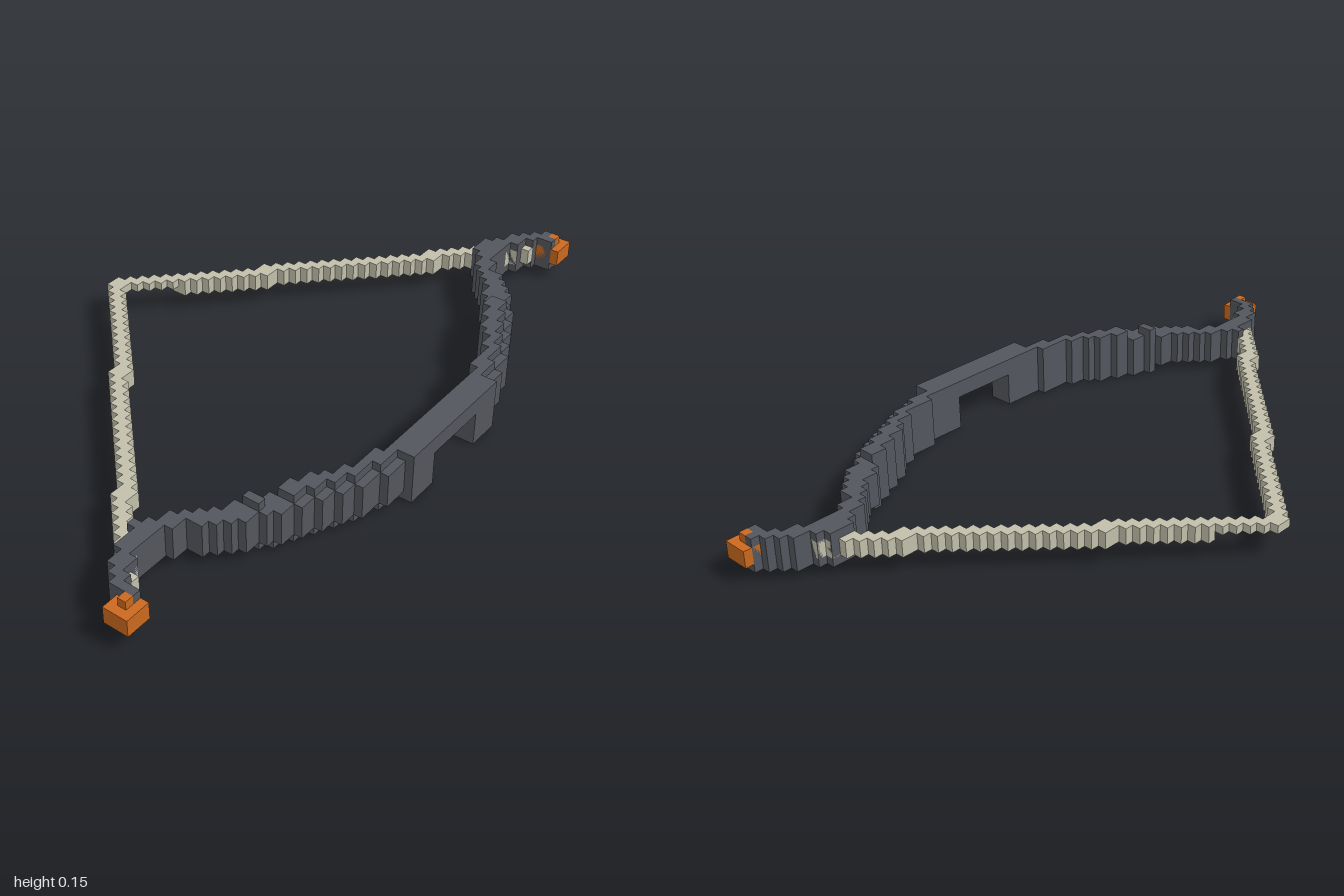
import * as THREE from 'three';
import { mergeGeometries } from 'three/addons/utils/BufferGeometryUtils.js';

const V = 2 / 82; // size of one cube of the grid

// Linear interpolation through [row, value] points
function along(points, k) {
  for (let i = 1; i < points.length; i++) {
    const [k0, v0] = points[i - 1], [k1, v1] = points[i];
    if (k <= k1) return v0 + (v1 - v0) * (k - k0) / (k1 - k0);
  }
  return points[points.length - 1][1];
}

// Distance of a row from the middle: rows 0 and -1 are both 0
const dist = (r) => (r < 0 ? -r - 1 : r);

// Flat slab with a stepped outline, rows r0..r1 along z, from y0 to y1
function slab(r0, r1, y0, y1, span) {
  const left = [], right = [];
  for (let r = r0; r <= r1; r++) {
    const [lo, hi] = span(r);
    for (const [side, x] of [[left, lo], [right, hi]]) {
      const last = side[side.length - 1];
      if (last && last[0] === x) last[1] = -(r + 1);
      else side.push([x, -r], [x, -(r + 1)]);
    }
  }
  const outline = [...left, ...right.reverse()];
  const shape = new THREE.Shape(outline.map(([x, y]) => new THREE.Vector2(x * V, y * V)));
  const geo = new THREE.ExtrudeGeometry(shape, { depth: (y1 - y0) * V, bevelEnabled: false });
  geo.rotateX(-Math.PI / 2);
  geo.translate(0, y0 * V, 0);
  return geo;
}

// Inner and outer curve of the bow, in cubes
const INNER = [[0, 21], [7, 21], [10, 20], [14, 19], [16, 17.3], [20, 15.2], [22, 14],
  [24, 12.6], [26, 10.8], [28, 9], [30, 8], [34, 8], [36, 9.4], [38, 11.2], [40, 12]];
const OUTER = [[0, 24], [7, 24], [8, 23], [10, 23], [11, 22], [14, 21.4], [16, 20], [18, 19],
  [20, 18], [22, 17.2], [24, 15.6], [26, 13.8], [28, 11.4], [30, 10], [34, 10],
  [36, 11], [37, 12], [38, 14]];

function bowSpan(r) {
  const k = dist(r);
  let lo = Math.round(along(INNER, k));
  const hi = k > 38 ? 13 : Math.round(along(OUTER, k));
  if (r === 31 || (r <= -32 && r >= -34)) lo = 7; // small knobs where the string meets the limb
  return [lo, hi];
}

// Top and bottom layers sit one cube back from the outer curve
function bevelSpan(r) {
  const [lo, hi] = bowSpan(r);
  return [lo, dist(r) < 8 ? hi : hi - 1];
}

function stringSpan(r) {
  const lo = Math.round(-23.6 + 0.93 * dist(r));
  return [lo, lo + 2];
}

export function createModel() {
  const material = (name, color) => {
    const m = new THREE.MeshStandardMaterial({ color });
    m.name = name;
    return m;
  };
  const dark = material('dark grey', 0x53565d);
  const pale = material('pale string', 0xc2bfab);
  const orange = material('orange', 0xca691f);

  const model = new THREE.Group();
  model.name = 'bow';
  const add = (name, mat, parts) => {
    const mesh = new THREE.Mesh(mergeGeometries(parts), mat);
    mesh.name = name;
    model.add(mesh);
  };

  // Thin grip in the middle, cut away below
  add('grip', dark, [slab(-4, 3, 4, 6, bowSpan)]);

  // Limbs, thicker near the grip
  add('leftLimb', dark, [
    slab(4, 38, 1, 5, bowSpan),
    slab(4, 19, 5, 6, bevelSpan),
    slab(22, 22, 5, 6, bevelSpan),
    slab(4, 22, 0, 1, bevelSpan),
  ]);
  add('rightLimb', dark, [
    slab(-40, -5, 1, 5, bowSpan),
    slab(-22, -5, 5, 6, bevelSpan),
    slab(-23, -5, 0, 1, bevelSpan),
  ]);

  // Drawn string, thinner at the nocking point
  add('string', pale, [
    slab(-37, 36, 3, 4, stringSpan),
    slab(-37, -6, 2, 3, stringSpan),
    slab(2, 36, 2, 3, stringSpan),
  ]);

  // Tips with a raised band
  for (const [name, start, band] of [['leftTip', 38, 39], ['rightTip', -41, -40]]) {
    add(name, orange, [
      slab(start, start + 2, 2, 4, () => [12, 15]),
      slab(band, band, 1, 5, () => [13, 14]),
    ]);
  }
  return model;
}
